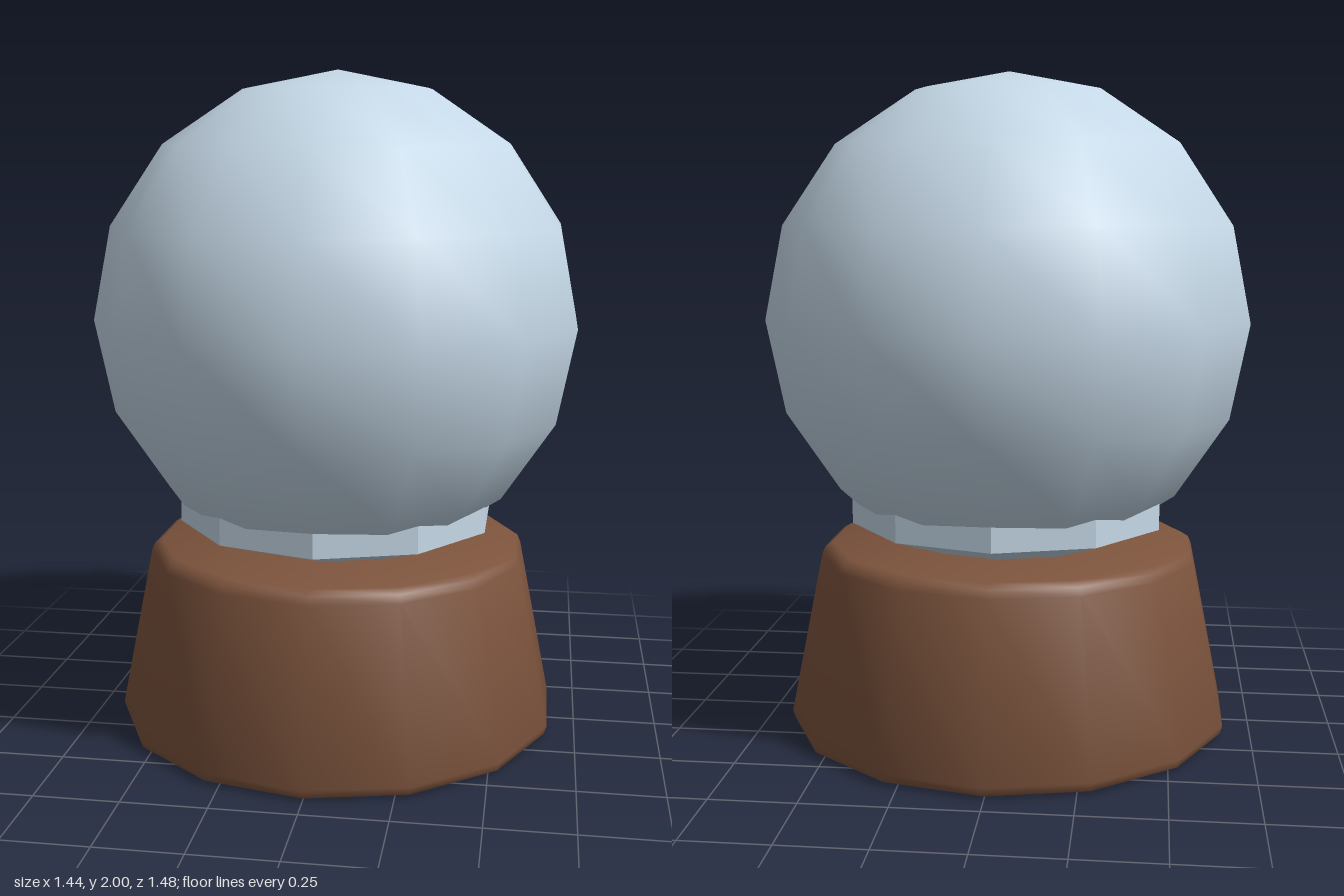
import * as THREE from 'three';
import { toCreasedNormals } from 'three/addons/utils/BufferGeometryUtils.js';

const glass = new THREE.MeshStandardMaterial({ name: 'pale blue glass', color: 0xc5d8e7 });
const wood = new THREE.MeshStandardMaterial({ name: 'brown wood', color: 0x7d543d });

// Turned part from [radius, height] points, bottom to top
function turned(name, points, sides, crease, material) {
  const profile = points.map(([r, y]) => new THREE.Vector2(r, y));
  const geometry = toCreasedNormals(new THREE.LatheGeometry(profile, sides), crease);
  const mesh = new THREE.Mesh(geometry, material);
  mesh.name = name;
  return mesh;
}

export function createModel() {
  const model = new THREE.Group();
  model.name = 'snowGlobe';

  // Tapered base with softened rims
  model.add(turned('base', [
    [0, 0], [0.655, 0], [0.675, 0.01], [0.683, 0.035],
    [0.583, 0.535], [0.573, 0.558], [0.55, 0.572], [0, 0.572],
  ], 14, 0.85, wood));

  // Faceted collar, tapering down into the base
  model.add(turned('collar', [
    [0, 0.54], [0.2, 0.54], [0.49, 0.64], [0.49, 0.74], [0, 0.74],
  ], 10, 0.5, glass));

  // Globe, turned so that a corner faces the front
  const globe = new THREE.Mesh(new THREE.SphereGeometry(0.74, 14, 8), glass);
  globe.name = 'globe';
  globe.rotation.y = Math.PI / 2;
  globe.position.y = 1.26;
  model.add(globe);

  return model;
}
